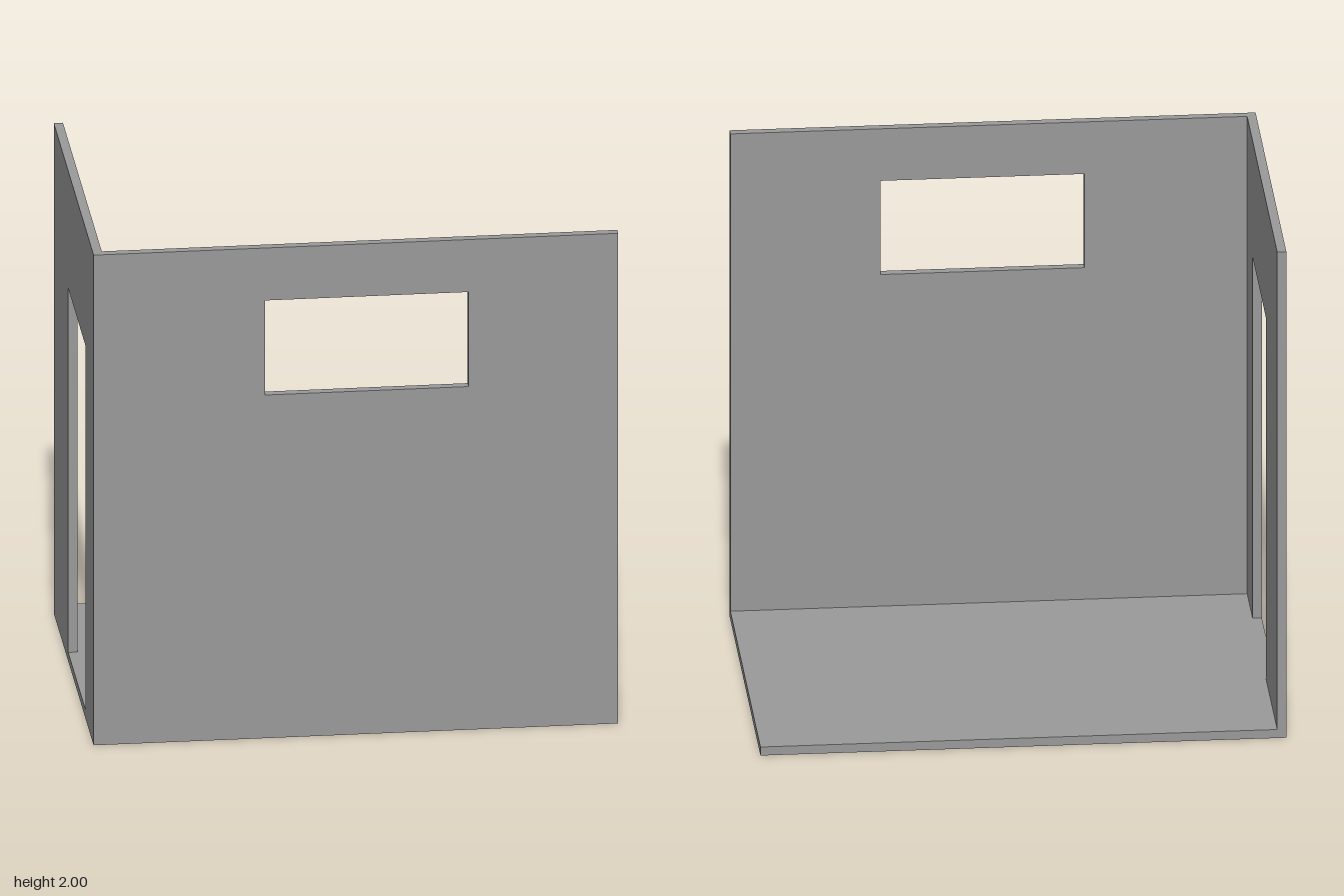
import * as THREE from 'three';

const T = 0.035;        // wall and floor thickness
const H = 2;            // wall height
const X = 1, Z = 0.677; // half width and half depth

const material = new THREE.MeshStandardMaterial({ color: 0x9a9a9a });

function rectangle(target, u0, v0, u1, v1) {
  target.moveTo(u0, v0);
  target.lineTo(u1, v0);
  target.lineTo(u1, v1);
  target.lineTo(u0, v1);
  target.closePath();
  return target;
}

// Upright slab from u0 to u1 with one rectangular opening
function wall(name, u0, u1, opening) {
  const shape = rectangle(new THREE.Shape(), u0, 0, u1, H);
  shape.holes.push(rectangle(new THREE.Path(), ...opening));
  const geometry = new THREE.ExtrudeGeometry(shape, { depth: T, bevelEnabled: false });
  const mesh = new THREE.Mesh(geometry, material);
  mesh.name = name;
  return mesh;
}

export function createModel() {
  const room = new THREE.Group();
  room.name = 'roomCorner';

  // Floor slab, fitted inside the two walls
  const floor = new THREE.Mesh(new THREE.BoxGeometry(2 * X - T, T, 2 * Z - T), material);
  floor.name = 'floor';
  floor.position.set(T / 2, T / 2, -T / 2);

  // Front wall with a high window
  const frontWall = wall('frontWall', -X, X, [-0.346, 1.4, 0.43, 1.786]);
  frontWall.position.z = Z - T;

  // Right wall with a doorway; its profile runs along z
  const rightWall = wall('rightWall', -Z, Z - T, [-0.187, T, 0.404, 1.521]);
  rightWall.rotation.y = -Math.PI / 2;
  rightWall.position.x = -X + T;

  room.add(floor, frontWall, rightWall);
  return room;
}
